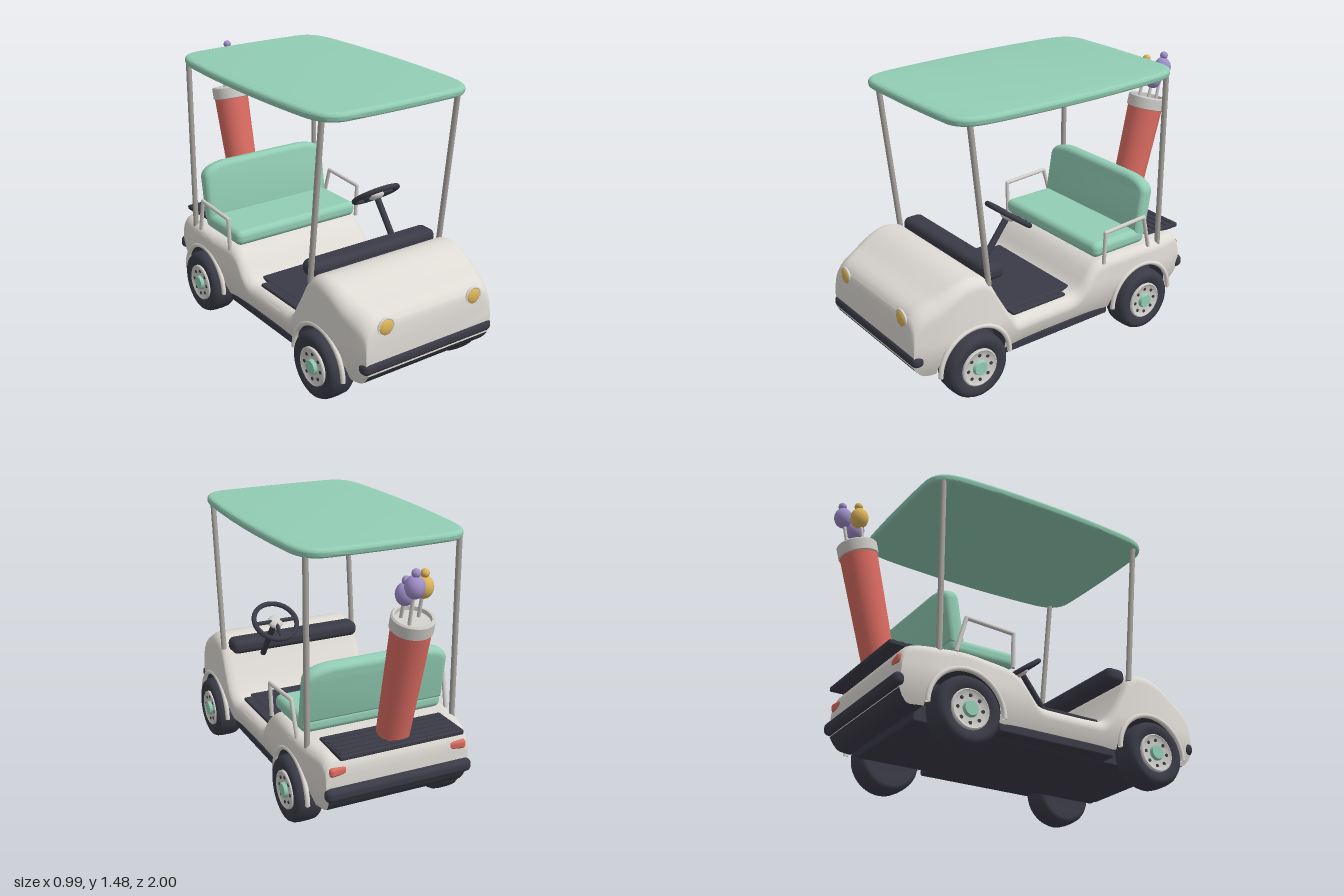
import * as THREE from 'three';
import { toCreasedNormals } from 'three/addons/utils/BufferGeometryUtils.js';
import { RoundedBoxGeometry } from 'three/addons/geometries/RoundedBoxGeometry.js';

const mat = (name, color, side = THREE.FrontSide) => {
  const m = new THREE.MeshStandardMaterial({ color, side });
  m.name = name;
  return m;
};
const V = (x, y, z) => new THREE.Vector3(x, y, z);

export function createModel() {
  const root = new THREE.Group();
  root.name = 'golfCart';
  const cream = mat('cream paint', 0xdedad4, THREE.DoubleSide);
  const teal = mat('mint green', 0x92cdb5);
  const dark = mat('charcoal', 0x3b3b47, THREE.DoubleSide);
  const steel = mat('grey metal', 0xa8a49f);
  const silver = mat('light grey', 0xcfcdc9, THREE.DoubleSide);
  const red = mat('coral red', 0xdc6c62);
  const gold = mat('amber', 0xdcb45c);
  const purple = mat('lilac', 0xa08fcb);

  const add = (name, geo, m, x = 0, y = 0, z = 0, parent = root) => {
    const mesh = new THREE.Mesh(geo, m);
    mesh.name = name;
    mesh.position.set(x, y, z);
    parent.add(mesh);
    return mesh;
  };
  const box = (name, w, h, d, r, m, x, y, z) => add(name, new RoundedBoxGeometry(w, h, d, 4, r), m, x, y, z);
  // Round bar from a to b
  const rod = (name, a, b, r0, r1, m, parent = root) => {
    const d = b.clone().sub(a);
    const mesh = add(name, new THREE.CylinderGeometry(r1, r0, d.length(), 28), m, 0, 0, 0, parent);
    mesh.position.copy(a).add(b).multiplyScalar(0.5);
    mesh.quaternion.setFromUnitVectors(V(0, 1, 0), d.normalize());
    return mesh;
  };

  // Body: cross-sections along z between a bottom line with wheel arches and a top line
  const AXLES = [0.665, -0.46], HUB_Y = 0.18, ARCH = 0.205;
  const topLine = new THREE.SplineCurve([
    [-0.79, 0.37], [-0.785, 0.42], [-0.76, 0.465], [-0.7, 0.485], [-0.5, 0.49], [-0.25, 0.487], [-0.16, 0.465], [-0.1, 0.41],
    [-0.05, 0.35], [0.0, 0.322], [0.1, 0.318], [0.3, 0.318], [0.38, 0.325], [0.43, 0.38], [0.5, 0.5], [0.545, 0.585],
    [0.59, 0.625], [0.66, 0.64], [0.74, 0.625], [0.85, 0.575], [0.93, 0.542], [0.97, 0.51], [0.985, 0.47], [0.99, 0.4],
  ].map((p) => new THREE.Vector2(...p))).getPoints(240);
  const topY = (z) => {
    const i = Math.max(1, topLine.findIndex((p) => p.x >= z - 1e-9));
    const a = topLine[i - 1], b = topLine[i];
    return THREE.MathUtils.lerp(a.y, b.y, THREE.MathUtils.clamp((z - a.x) / (b.x - a.x || 1), 0, 1));
  };
  const bottomY = (z) => {
    for (const c of AXLES) {
      if (Math.abs(z - c) < ARCH) return HUB_Y + Math.sqrt(ARCH * ARCH - (z - c) ** 2);
    }
    return 0.175 + 0.07 * Math.max(0, (z - 0.91) / 0.08, (-z - 0.73) / 0.06) ** 2;
  };
  const halfWidth = (y, z) => {
    const bulge = Math.max(...AXLES.map((c) => Math.exp(-(((z - c) / 0.22) ** 2))));
    const nose = Math.max(0, (z - 0.75) / 0.24), tail = Math.max(0, (-z - 0.6) / 0.19);
    const tuck = Math.max(0, 1 - (y - 0.18) / 0.16);
    return 0.428 + 0.03 * bulge - 0.035 * nose ** 2 - 0.03 * tail ** 2
      - 0.035 * tuck ** 2 - 0.09 * Math.max(0, y - 0.35);
  };
  const stations = [];
  for (let i = 0; i <= 90; i++) {
    const z = -0.79 + (1.78 * i) / 90;
    if (AXLES.every((c) => Math.abs(z - c) > ARCH + 0.004)) stations.push(z);
  }
  for (const c of AXLES) for (let i = 0; i <= 32; i++) stations.push(c - ARCH * Math.cos((Math.PI * i) / 32));
  for (const e of [0.975, 0.98, 0.985, -0.787, -0.783, -0.775]) stations.push(e);
  stations.sort((a, b) => a - b);
  const section = (z) => {
    const yb = bottomY(z), yt = topY(z), r = Math.min(0.06 + 0.04 * Math.max(0, (z - 0.6) / 0.39), (yt - yb) * 0.45);
    const half = [];
    for (let i = 0; i < 8; i++) {
      const y = yb + ((yt - r - yb) * i) / 8;
      half.push(V(halfWidth(y, z), y, z));
    }
    for (let i = 0; i <= 8; i++) {
      const a = (Math.PI / 2) * (i / 8);
      half.push(V(halfWidth(yt - r, z) - r * (1 - Math.cos(a)), yt - r + r * Math.sin(a), z));
    }
    return [...half, ...half.slice().reverse().map((p) => V(-p.x, p.y, p.z))];
  };
  const rows = stations.map(section);
  const shell = [], under = [];
  const tri = (out, ...pts) => pts.forEach((p) => out.push(p.x, p.y, p.z));
  const quad = (out, a, b, c, d) => { tri(out, a, b, c); tri(out, a, c, d); };
  for (let i = 0; i < rows.length - 1; i++) {
    const p = rows[i], q = rows[i + 1], n = p.length - 1;
    for (let j = 0; j < n; j++) quad(shell, p[j], p[j + 1], q[j + 1], q[j]);
    quad(under, p[n], p[0], q[0], q[n]);
  }
  for (const [row, front] of [[rows[0], false], [rows[rows.length - 1], true]]) {
    const c = V(0, (row[0].y + row[8].y) / 2, row[0].z);
    for (let j = 0; j < row.length; j++) {
      const a = row[j], b = row[(j + 1) % row.length];
      if (front) tri(shell, c, a, b); else tri(shell, c, b, a);
    }
  }
  const fromTriangles = (list) => {
    const g = new THREE.BufferGeometry();
    g.setAttribute('position', new THREE.Float32BufferAttribute(list, 3));
    return toCreasedNormals(g, 0.7);
  };
  add('body', fromTriangles(shell), cream);
  add('underside', fromTriangles(under), dark);
  box('chassis', 0.62, 0.1, 1.5, 0.01, dark, 0, 0.18, 0.08);
  box('sillPlate', 0.8, 0.05, 0.7, 0.01, dark, 0, 0.16, 0.1);
  box('wheelWellCore', 0.64, 0.2, 1.55, 0.01, dark, 0, 0.28, 0.1).scale.set(1, 0.6, 1);

  // Wheels: rounded tyre, rim disc with holes, hub cap
  const tyreProfile = [[0.09, -0.07], [0.145, -0.075], [0.163, -0.068], [0.173, -0.05], [0.176, -0.02],
    [0.176, 0.02], [0.173, 0.05], [0.163, 0.068], [0.145, 0.075], [0.12, 0.072], [0.1, 0.06]];
  const tyreGeo = new THREE.LatheGeometry(tyreProfile.map((p) => new THREE.Vector2(...p)), 48);
  const rimProfile = [[0.102, 0.055], [0.102, 0.072], [0.096, 0.076], [0.088, 0.07], [0.06, 0.066], [0.001, 0.066]];
  const rimGeo = toCreasedNormals(new THREE.LatheGeometry(rimProfile.map((p) => new THREE.Vector2(...p)), 40), 0.6);
  for (const z of AXLES) for (const s of [1, -1]) {
    const wheel = new THREE.Group();
    wheel.name = 'wheel';
    wheel.position.set(0.41 * s, 0.176, z);
    wheel.rotation.z = -s * Math.PI / 2;
    root.add(wheel);
    add('tyre', tyreGeo, dark, 0, 0, 0, wheel);
    add('innerDisc', new THREE.CylinderGeometry(0.1, 0.1, 0.01, 32), dark, 0, -0.065, 0, wheel);
    add('rim', rimGeo, silver, 0, 0, 0, wheel);
    add('hubCap', new THREE.CylinderGeometry(0.036, 0.042, 0.02, 28), teal, 0, 0.074, 0, wheel);
    for (let i = 0; i < 8; i++) {
      const a = (i * Math.PI) / 4;
      add('rimHole', new THREE.CylinderGeometry(0.009, 0.009, 0.006, 12), dark, 0.069 * Math.cos(a), 0.068, 0.069 * Math.sin(a), wheel);
    }
    const lip = add('archLip', new THREE.TorusGeometry(0.21, 0.013, 10, 40, Math.PI), cream, 0.446 * s, HUB_Y, z);
    lip.rotation.y = Math.PI / 2;
  }

  // Bumpers, lamps, dash, mat and bag deck
  box('frontBumper', 0.82, 0.07, 0.07, 0.03, dark, 0, 0.282, 0.965);
  box('rearBumper', 0.82, 0.07, 0.06, 0.028, dark, 0, 0.285, -0.795);
  for (const s of [1, -1]) {
    const lamp = add('headlight', new THREE.SphereGeometry(0.045, 28, 16), gold, 0.277 * s, 0.477, 0.978);
    lamp.scale.z = 0.4;
    add('headlightRim', new THREE.TorusGeometry(0.046, 0.006, 8, 32), cream, 0.277 * s, 0.477, 0.981);
    box('tailLight', 0.1, 0.05, 0.04, 0.018, red, 0.335 * s, 0.4, -0.775).rotation.y = 0.15 * s;
  }
  box('dashPad', 0.79, 0.085, 0.12, 0.035, dark, 0, 0.615, 0.5);
  box('floorMat', 0.74, 0.02, 0.35, 0.008, dark, 0, 0.327, 0.2);
  box('bagDeck', 0.69, 0.026, 0.24, 0.008, dark, 0, 0.488, -0.71);
  for (let i = 0; i < 5; i++) box('deckRib', 0.67, 0.008, 0.022, 0.003, dark, 0, 0.503, -0.625 - i * 0.044);

  // Bench seat with round-shouldered backrest
  box('seatCushion', 0.8, 0.085, 0.37, 0.035, teal, 0, 0.532, -0.335);
  const backShape = new THREE.Shape();
  backShape.moveTo(-0.37, 0);
  backShape.lineTo(0.37, 0);
  backShape.lineTo(0.37, 0.2);
  backShape.quadraticCurveTo(0.37, 0.24, 0.26, 0.25);
  backShape.lineTo(-0.26, 0.25);
  backShape.quadraticCurveTo(-0.37, 0.24, -0.37, 0.2);
  const backGeo = toCreasedNormals(new THREE.ExtrudeGeometry(backShape, {
    depth: 0.02, bevelSize: 0.032, bevelThickness: 0.032, bevelSegments: 6, curveSegments: 12 }), 0.6);
  add('seatBack', backGeo, teal, 0, 0.58, -0.5).rotation.x = -0.16;

  // Arm rails and roof posts
  for (const s of [1, -1]) {
    const pts = [V(0.43 * s, 0.47, -0.19), V(0.437 * s, 0.655, -0.19), V(0.437 * s, 0.67, -0.465), V(0.43 * s, 0.48, -0.515)];
    for (let i = 0; i < 3; i++) rod('armRail', pts[i], pts[i + 1], 0.011, 0.011, silver);
    for (const p of pts.slice(1, 3)) add('armRailElbow', new THREE.SphereGeometry(0.011, 14, 10), silver, p.x, p.y, p.z);
    rod('frontRoofPost', V(0.415 * s, 0.58, 0.558), V(0.415 * s, 1.435, 0.648), 0.015, 0.015, steel);
    rod('rearRoofPost', V(0.415 * s, 0.46, -0.6), V(0.415 * s, 1.435, -0.6), 0.015, 0.015, steel);
  }

  // Roof: rounded panel with gently bowed edges
  const roofShape = new THREE.Shape();
  roofShape.moveTo(-0.33, -0.675);
  roofShape.quadraticCurveTo(0, -0.69, 0.33, -0.675);
  roofShape.bezierCurveTo(0.41, -0.665, 0.435, -0.61, 0.445, -0.5);
  roofShape.quadraticCurveTo(0.485, 0, 0.445, 0.5);
  roofShape.bezierCurveTo(0.435, 0.61, 0.41, 0.665, 0.33, 0.675);
  roofShape.quadraticCurveTo(0, 0.69, -0.33, 0.675);
  roofShape.bezierCurveTo(-0.41, 0.665, -0.435, 0.61, -0.445, 0.5);
  roofShape.quadraticCurveTo(-0.485, 0, -0.445, -0.5);
  roofShape.bezierCurveTo(-0.435, -0.61, -0.41, -0.665, -0.33, -0.675);
  const roofGeo = toCreasedNormals(new THREE.ExtrudeGeometry(roofShape, {
    depth: 0.008, bevelSize: 0.024, bevelThickness: 0.02, bevelSegments: 6, curveSegments: 16 }), 0.6);
  add('roof', roofGeo, teal, 0, 1.447, 0.035).rotation.x = -Math.PI / 2;

  // Steering wheel on a slanted column
  rod('steeringColumn', V(0.205, 0.55, 0.475), V(0.205, 0.8, 0.285), 0.017, 0.017, dark);
  const steering = new THREE.Group();
  steering.name = 'steeringWheel';
  steering.position.set(0.205, 0.808, 0.278);
  steering.quaternion.setFromUnitVectors(V(0, 0, 1), V(0, 0.81, -0.585).normalize());
  root.add(steering);
  add('steeringRing', new THREE.TorusGeometry(0.122, 0.014, 12, 48), dark, 0, 0, 0, steering);
  for (const a of [0, Math.PI, Math.PI / 2]) {
    rod('steeringSpoke', V(0, 0, 0), V(0.12 * Math.cos(a), 0.12 * Math.sin(a), 0), 0.011, 0.011, dark, steering);
  }
  add('steeringHub', new THREE.SphereGeometry(0.043, 24, 14), silver, 0, 0, -0.008, steering).scale.z = 0.55;

  // Golf bag leaning back, with open collar
  const foot = V(0, 0.515, -0.715), mouth = V(0, 1.17, -0.88);
  rod('golfBag', foot, mouth.clone().lerp(foot, 0.04), 0.085, 0.1, red);
  const collarPts = [[0.001, -0.02], [0.085, -0.02], [0.088, 0], [0.098, 0.002], [0.106, -0.006], [0.106, -0.066], [0.098, -0.07]];
  const collar = add('bagCollar', toCreasedNormals(new THREE.LatheGeometry(
    collarPts.map((p) => new THREE.Vector2(...p)).reverse(), 40), 0.7), silver, 0, mouth.y, mouth.z);
  collar.quaternion.setFromUnitVectors(V(0, 1, 0), mouth.clone().sub(foot).normalize());

  // Clubs under soft head covers
  for (const [x, y, z, m] of [[-0.042, 1.31, -0.893, gold], [0.038, 1.335, -0.95, purple], [0.043, 1.282, -0.875, purple]]) {
    rod('clubShaft', V(x, 1.12, z + 0.045), V(x, y, z), 0.009, 0.009, silver);
    add('headCover', new THREE.SphereGeometry(0.048, 24, 18), m, x, y, z).scale.set(1, 1.17, 1);
    add('headCoverPompom', new THREE.SphereGeometry(0.022, 16, 12), m, x, y + 0.067, z - 0.008);
  }
  return root;
}
